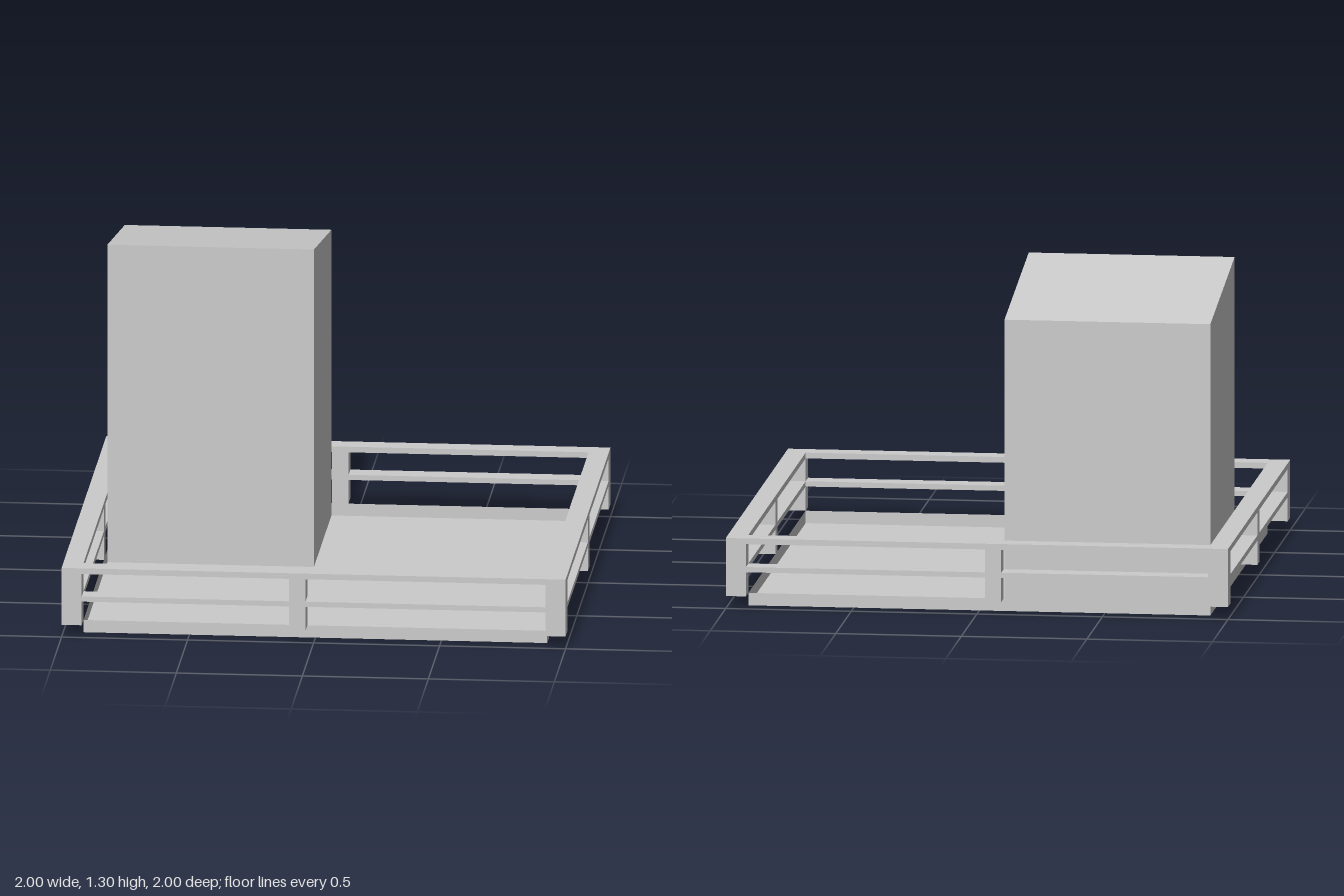
import * as THREE from 'three';

const material = new THREE.MeshStandardMaterial({ color: 0xcccccc, flatShading: true, side: THREE.DoubleSide });
const IN = 0.92, OUT = 1;            // inner and outer faces of the railing
const DECK = 0.05, TOP = 0.283;      // bottom and top of the railing

// Box given by its limits; listed faces are left open (0 +x, 1 -x, 2 +y, 3 -y, 4 +z, 5 -z)
function box(name, [x0, x1], [y0, y1], [z0, z1], open = []) {
  const g = new THREE.BoxGeometry(x1 - x0, y1 - y0, z1 - z0);
  g.translate((x0 + x1) / 2, (y0 + y1) / 2, (z0 + z1) / 2);
  const index = Array.from(g.index.array);
  g.setIndex(index.filter((_, i) => !open.includes(Math.floor(i / 6))));
  g.clearGroups();
  const mesh = new THREE.Mesh(g, material);
  mesh.name = name;
  return mesh;
}

export function createModel() {
  const model = new THREE.Group();
  model.name = 'terraceWithTower';

  // Floor sheet, notched where the hollow tower stands
  const outline = [[-IN, -IN], [IN, -IN], [IN, IN], [-0.1, IN], [-0.1, 0.14], [-IN, 0.14]];
  const floorGeometry = new THREE.ShapeGeometry(new THREE.Shape(outline.map(p => new THREE.Vector2(...p))));
  floorGeometry.rotateX(-Math.PI / 2);
  const floor = new THREE.Mesh(floorGeometry, material);
  floor.name = 'floor';
  model.add(floor);

  // Low curb around the floor
  model.add(box('curb', [-IN, IN], [0, DECK], [-IN, IN], [2, 3]));

  // Tower, open below, with a roof falling to the back
  const tower = box('tower', [-IN, -0.1], [0, 1.3], [-IN, -0.14], [3]);
  const p = tower.geometry.attributes.position;
  for (let i = 0; i < p.count; i++) {
    if (p.getY(i) > 1 && p.getZ(i) < -0.5) p.setY(i, 1.17);
  }
  tower.geometry.computeVertexNormals();
  model.add(tower);

  // Railing: hollow posts and two rails per bay on all four sides
  const railing = new THREE.Group();
  railing.name = 'railing';
  const height = [DECK, TOP];
  const rails = { middleRail: [0.147, 0.168], topRail: [0.26, TOP] };
  const midX = [-0.097, -0.032], midZ = [-0.055, 0.01];
  for (const s of [-1, 1]) {
    const depth = s > 0 ? [IN, OUT] : [-OUT, -IN];
    for (const end of [[-OUT, -IN], [IN, OUT]]) railing.add(box('cornerPost', end, height, depth, [3]));
    railing.add(box('middlePost', midX, height, depth, [3]));
    railing.add(box('middlePost', depth, height, midZ, [3]));
    for (const [name, span] of Object.entries(rails)) {
      for (const bay of [[-IN, midX[0]], [midX[1], IN]]) railing.add(box(name, bay, span, depth, [0, 1]));
      for (const bay of [[-IN, midZ[0]], [midZ[1], IN]]) railing.add(box(name, depth, span, bay, [4, 5]));
    }
  }
  model.add(railing);
  return model;
}
